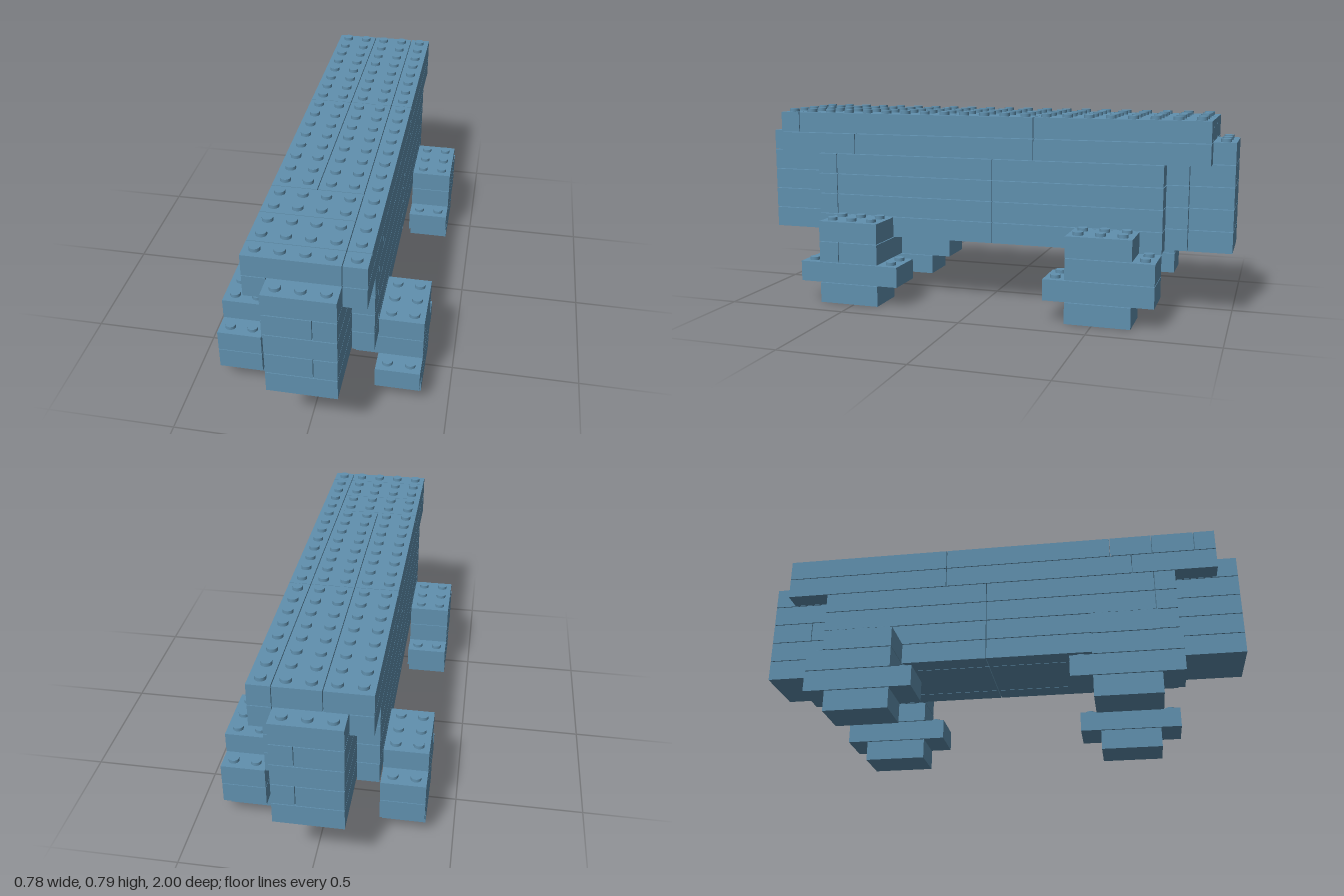
import * as THREE from 'three';
import { mergeGeometries } from 'three/addons/utils/BufferGeometryUtils.js';

const P = 2 / 23;      // stud pitch, also the height of a layer
const GAP = 0.003;     // joint between bricks
const STUD_R = 0.0205, STUD_H = 0.0135;

// A brick is [layer, x0, x1, z0, z1] in stud units.
function runs(layer, x0, x1, zCuts) {
  return zCuts.slice(1).map((z, i) => [layer, x0, x1, zCuts[i], z]);
}

function roofBricks() {
  return [
    // top layer
    ...runs(8, 1.5, 2.5, [-10.5, -2.5, 9.5, 10.5]),
    ...runs(8, -0.5, 1.5, [-10.5, -2.5, 5.5]),
    ...runs(8, -2.5, -0.5, [-10.5, -2.5, 5.5]),
    ...runs(8, -2.5, 1.5, [5.5, 7.5, 9.5, 10.5]),
    // overhanging side rows and longer middle below it
    ...runs(7, 1.5, 2.5, [-10.5, -2.5, 6.5, 10.5]),
    ...runs(7, -2.5, -1.5, [-10.5, -2.5, 6.5, 10.5]),
    ...runs(7, -1.5, 1.5, [-11.5, -3.5, 4.5, 11.5]),
  ];
}

function bodyBricks() {
  const list = [];
  for (let layer = 3; layer <= 6; layer++) {
    const even = layer % 2 === 0;
    // side walls, one stud thick
    for (const x of [-2.5, 1.5]) list.push(...runs(layer, x, x + 1, [-8.5, -0.5, 7.5, 8.5]));
    // middle block that forms the narrow ends
    if (even) {
      list.push(...runs(layer, -1.5, 0.5, [-11.5, -7.5, 0.5, 7.5, 11.5]));
      list.push(...runs(layer, 0.5, 1.5, [-11.5, -9.5, -0.5, 7.5, 11.5]));
    } else {
      list.push(...runs(layer, -1.5, 1.5, [-11.5, -9.5, -0.5, 6.5, 11.5]));
    }
  }
  return list;
}

// One stepped leg; sx and sz pick the corner.
function legBricks(sx, sz) {
  const brick = (layer, x0, x1, z0, z1) => [
    layer,
    Math.min(sx * x0, sx * x1), Math.max(sx * x0, sx * x1),
    Math.min(sz * z0, sz * z1), Math.max(sz * z0, sz * z1),
  ];
  const list = [
    brick(0, 2.5, 4.5, 4.5, 7.5),
    brick(1, 2.5, 4.5, 3.5, 8.5),
    brick(3, 2.5, 4.5, 4.5, 7.5),
  ];
  if (sx > 0 && sz > 0) {
    // this leg reaches under the body
    list.push(brick(2, 1.5, 4.5, 4.5, 6.5), brick(2, 1.5, 4.5, 6.5, 7.5));
  } else {
    list.push(brick(2, 2.5, 4.5, 4.5, 8.5));
  }
  return list;
}

function forCells([layer, x0, x1, z0, z1], fn) {
  for (let x = x0 + 0.5; x < x1; x++) for (let z = z0 + 0.5; z < z1; z++) fn(layer, x, z);
}

export function createModel() {
  const blue = new THREE.MeshStandardMaterial({ color: 0x6090ae });
  blue.name = 'steel blue';

  const parts = {
    roof: roofBricks(),
    body: bodyBricks(),
    frontLeftLeg: legBricks(1, 1),
    frontRightLeg: legBricks(-1, 1),
    backLeftLeg: legBricks(1, -1),
    backRightLeg: legBricks(-1, -1),
  };

  // occupied cells, so that studs stand only on open tops
  const filled = new Set();
  for (const b of Object.values(parts).flat()) forCells(b, (l, x, z) => filled.add(`${l},${x},${z}`));

  const model = new THREE.Group();
  model.name = 'brickModel';
  for (const [name, bricks] of Object.entries(parts)) {
    const blocks = [], studs = [];
    for (const b of bricks) {
      const [layer, x0, x1, z0, z1] = b;
      const h = P - GAP;
      blocks.push(new THREE.BoxGeometry((x1 - x0) * P - GAP, h, (z1 - z0) * P - GAP)
        .translate((x0 + x1) / 2 * P, layer * P + h / 2, (z0 + z1) / 2 * P));
      forCells(b, (l, x, z) => {
        if (filled.has(`${l + 1},${x},${z}`)) return;
        studs.push(new THREE.CylinderGeometry(STUD_R, STUD_R, STUD_H, 20)
          .translate(x * P, l * P + h + STUD_H / 2, z * P));
      });
    }
    const group = new THREE.Group();
    group.name = name;
    for (const [kind, geos] of [['Bricks', blocks], ['Studs', studs]]) {
      if (!geos.length) continue;
      const mesh = new THREE.Mesh(mergeGeometries(geos), blue);
      mesh.name = name + kind;
      group.add(mesh);
    }
    model.add(group);
  }
  return model;
}
